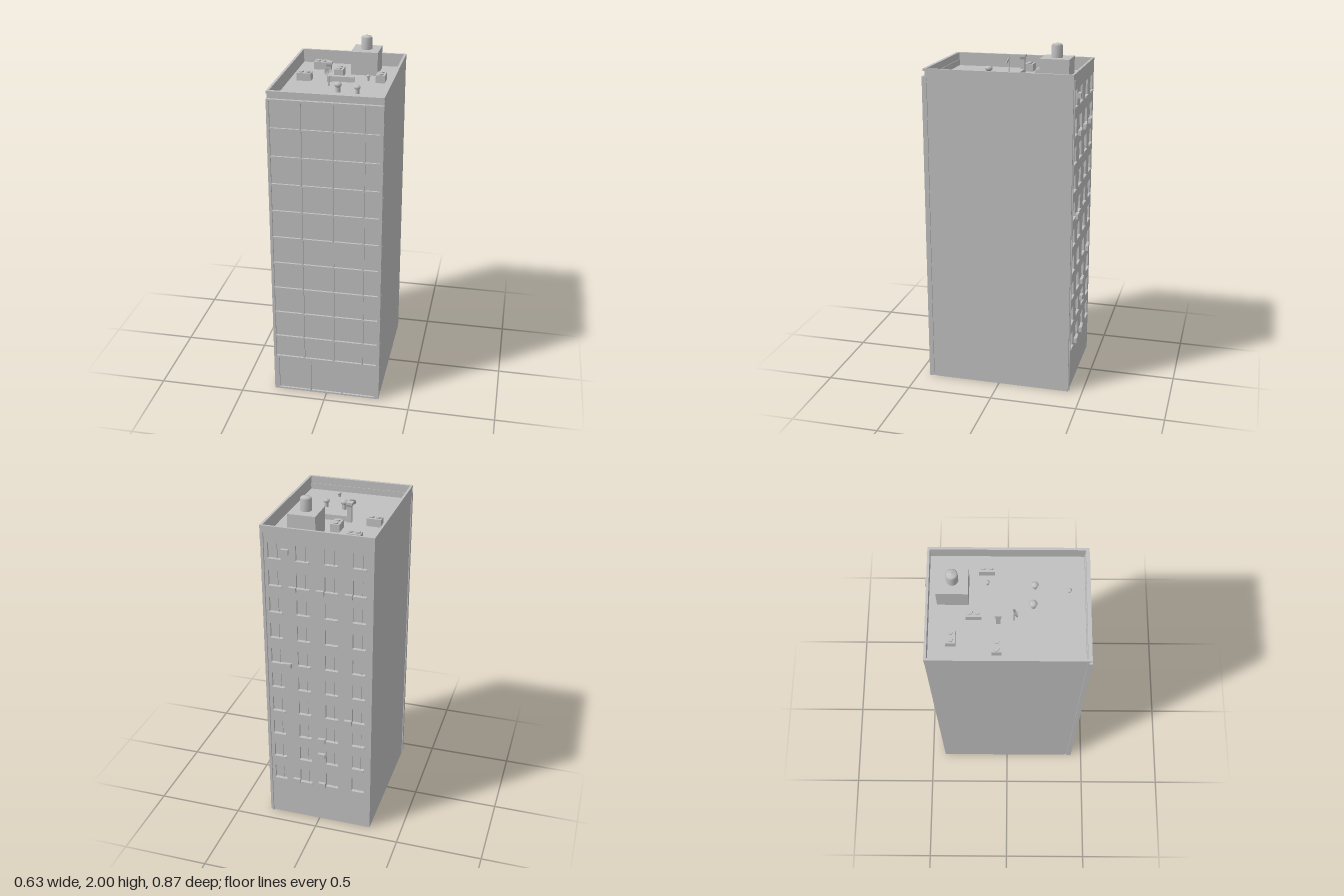
import * as THREE from 'three';

const concrete = new THREE.MeshStandardMaterial({ color: 0xc0c0c0 });
concrete.name = 'grey concrete';

export function createModel() {
  const model = new THREE.Group();
  const add = (name, geo, x = 0, y = 0, z = 0, parent = model) => {
    const m = new THREE.Mesh(geo, concrete);
    m.name = name;
    m.position.set(x, y, z);
    parent.add(m);
    return m;
  };
  // box given by its limits on each axis
  const block = (name, x0, x1, y0, y1, z0, z1, parent) =>
    add(name, new THREE.BoxGeometry(x1 - x0, y1 - y0, z1 - z0),
      (x0 + x1) / 2, (y0 + y1) / 2, (z0 + z1) / 2, parent);
  const rect = (Type, x0, x1, y0, y1) => new Type([
    new THREE.Vector2(x0, y0), new THREE.Vector2(x1, y0),
    new THREE.Vector2(x1, y1), new THREE.Vector2(x0, y1)]);
  // wall with rectangular openings, standing between z0 and z1
  const piercedWall = (name, outline, openings, z0, z1) => {
    const shape = rect(THREE.Shape, ...outline);
    openings.forEach(o => shape.holes.push(rect(THREE.Path, ...o)));
    add(name, new THREE.ExtrudeGeometry(shape, { depth: z1 - z0, bevelEnabled: false }), 0, 0, z0);
  };

  const ROOF = 1.785, FLOOR = 0.1612, W = 0.313;

  // main tower, with a narrow shadow gap behind the facade
  block('tower', -W, W, 0, ROOF, -0.403, 0.39);
  block('facadeJoint', -0.308, 0.308, 0, ROOF, 0.39, 0.405);

  // front facade: ten floors of recessed panels over three entrance bays
  const panels = [];
  const columns = [[-0.3, -0.137], [-0.128, 0.039], [0.048, 0.209], [0.218, 0.297]];
  for (let f = 0; f < 10; f++) {
    const top = 1.812 - f * FLOOR;
    const bottom = f === 9 ? 0.232 : top - FLOOR + 0.01;
    columns.forEach(([a, b]) => panels.push([a, b, bottom, top]));
  }
  [[-0.285, -0.1], [-0.09, 0.09], [0.1, 0.285]].forEach(([a, b]) => panels.push([a, b, 0.01, 0.215]));
  piercedWall('facadeFrame', [-0.315, 0.315, 0, 1.82], panels, 0.42, 0.432);
  block('facadePanels', -0.315, 0.315, 0, 1.82, 0.405, 0.42);

  // back wall with four columns of recessed windows
  const windows = [];
  [-0.237, -0.08, 0.08, 0.237].forEach(x => {
    for (let f = 0; f < 10; f++) {
      const y = 0.25 + f * 0.159;
      windows.push([x - 0.037, x + 0.037, y, y + 0.088]);
      block('windowSill', x - 0.037, x + 0.037, y - 0.008, y, -0.424, -0.416);
      block('windowMullion', x - 0.014, x - 0.009, y, y + 0.088, -0.41, -0.403);
    }
  });
  piercedWall('backWall', [-W, W, 0, ROOF], windows, -0.417, -0.403);

  // air conditioners and drainpipe on the back
  [[0.175, 1.73], [0.137, 1.515], [-0.02, 1.515], [-0.178, 1.515], [0.175, 1.04],
    [-0.178, 0.725], [-0.02, 0.57], [-0.02, 0.465], [0.137, 0.255], [-0.02, 0.255]]
    .forEach(([x, y]) => block('airConditioner', x - 0.021, x + 0.021, y - 0.015, y + 0.015, -0.435, -0.416));
  add('drainpipe', new THREE.CylinderGeometry(0.004, 0.004, 1.83, 8), 0.296, 0.915, -0.421);

  // parapet ring and its coping
  const ring = (name, x, z0, z1, inX, in0, in1, y0, y1) => {
    const s = rect(THREE.Shape, -x, x, -z1, -z0);
    s.holes.push(rect(THREE.Path, -inX, inX, -in1, -in0));
    const g = new THREE.ExtrudeGeometry(s, { depth: y1 - y0, bevelEnabled: false });
    add(name, g.rotateX(-Math.PI / 2), 0, y0, 0);
  };
  ring('parapet', 0.314, -0.418, 0.414, 0.302, -0.407, 0.408, ROOF, 1.85);
  ring('parapetCoping', 0.315, -0.419, 0.426, 0.301, -0.406, 0.407, 1.85, 1.863);
  block('roof', -0.302, 0.302, ROOF - 0.005, ROOF, -0.407, 0.408);

  // stair house with water tank
  block('stairHouse', 0.022, 0.178, ROOF, 1.92, -0.365, -0.2);
  const tank = [[0.032, 0], [0.032, 0.066], [0.025, 0.075], [0, 0.08]].map(p => new THREE.Vector2(...p));
  add('waterTank', new THREE.LatheGeometry(tank, 12), 0.1, 1.92, -0.282);

  // rooftop cooling units, each with two fans
  [[-0.168, -0.29, 0], [-0.037, -0.174, 1], [0.215, -0.108, 1], [-0.217, -0.054, 0]].forEach(([x, z, turned]) => {
    const unit = new THREE.Group();
    unit.name = 'coolingUnit';
    unit.position.set(x, ROOF, z);
    unit.rotation.y = turned * Math.PI / 2;
    block('unitBody', -0.041, 0.041, 0, 0.044, -0.026, 0.026, unit);
    [-0.02, 0.02].forEach(fx => add('unitFan', new THREE.CylinderGeometry(0.015, 0.015, 0.008, 10), fx, 0.047, 0, unit));
    model.add(unit);
  });

  // air duct with a flared upright intake
  block('duct', -0.06, 0.07, ROOF + 0.005, ROOF + 0.035, -0.06, -0.033);
  block('ductRiser', -0.084, -0.06, ROOF, 1.875, -0.058, -0.035);
  const hood = new THREE.CylinderGeometry(0.025, 0.017, 0.016, 4, 1).rotateY(Math.PI / 4);
  add('ductHood', hood.toNonIndexed(), -0.072, 1.882, -0.0465).geometry.computeVertexNormals();
  block('ductHoodRim', -0.09, -0.054, 1.888, 1.9, -0.065, -0.028);

  // domed vents
  [[0.013, 0.133, 0.022, 0.042], [0.122, 0.142, 0.019, 0.036],
    [0.14, -0.105, 0.012, 0.026], [0.1, 0.322, 0.013, 0.02]].forEach(([x, z, r, h]) => {
    add('ventPipe', new THREE.CylinderGeometry(r * 0.6, r * 0.6, h, 8), x, ROOF + h / 2, z);
    add('ventCap', new THREE.SphereGeometry(r, 10, 6).scale(1, 0.7, 1), x, ROOF + h, z);
  });

  // satellite dish on a mast
  const dish = new THREE.Group();
  dish.name = 'satelliteDish';
  dish.position.set(-0.06, 1.862, 0.035);
  dish.rotation.set(1.05, 0, -0.25);
  const bowl = [[0, 0], [0.012, 0.002], [0.024, 0.009]].map(p => new THREE.Vector2(...p));
  const front = add('dishBowl', new THREE.LatheGeometry(bowl, 14), 0, 0, 0, dish);
  const back = add('dishBack', front.geometry.clone(), 0, 0, 0, dish);
  back.geometry.index.array.reverse();
  add('dishArm', new THREE.CylinderGeometry(0.0015, 0.0015, 0.026, 6), 0, 0.013, 0, dish);
  model.add(dish);
  add('dishMast', new THREE.CylinderGeometry(0.004, 0.004, 0.077, 8), -0.06, ROOF + 0.038, 0.033);

  return model;
}
